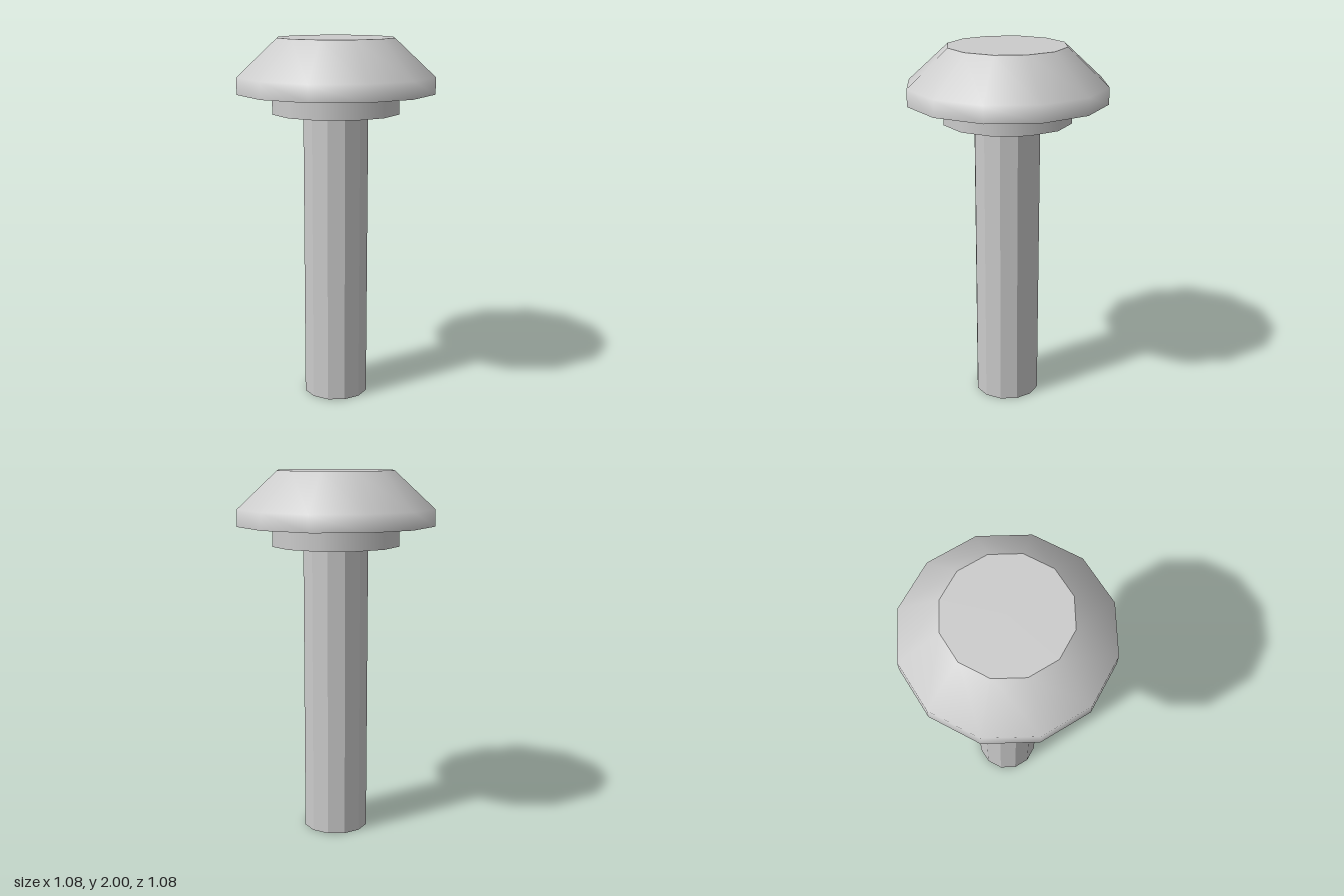
import * as THREE from 'three';

const SIDES = 12;

export function createModel() {
  const group = new THREE.Group();
  const smooth = new THREE.MeshStandardMaterial({ color: 0xcccccc });
  const faceted = new THREE.MeshStandardMaterial({ color: 0xcccccc, flatShading: true, side: THREE.DoubleSide });

  const add = (name, geometry, material, y = 0) => {
    const mesh = new THREE.Mesh(geometry, material);
    mesh.name = name;
    mesh.position.y = y;
    group.add(mesh);
    return mesh;
  };

  // Flat twelve-sided disc facing up or down
  const disc = (name, radius, y, up) => {
    const geometry = new THREE.CircleGeometry(radius, SIDES);
    geometry.rotateX(up ? -Math.PI / 2 : Math.PI / 2);
    add(name, geometry, smooth, y);
  };

  // Head: short rim running smoothly into a sloping shoulder
  const profile = [[0.54, 1.71], [0.54, 1.8], [0.32, 2]].map(([r, y]) => new THREE.Vector2(r, y));
  add('head', new THREE.LatheGeometry(profile, SIDES), smooth);
  disc('headTop', 0.32, 2, true);
  disc('headUnderside', 0.54, 1.71, false);

  // Collar under the head
  add('collar', new THREE.CylinderGeometry(0.35, 0.35, 0.11, SIDES, 1, true), smooth, 1.655);
  disc('collarUnderside', 0.35, 1.6, false);

  // Hollow shaft, open at the bottom
  add('shaft', new THREE.CylinderGeometry(0.18, 0.18, 1.6, SIDES, 1, true), faceted, 0.8);

  return group;
}
